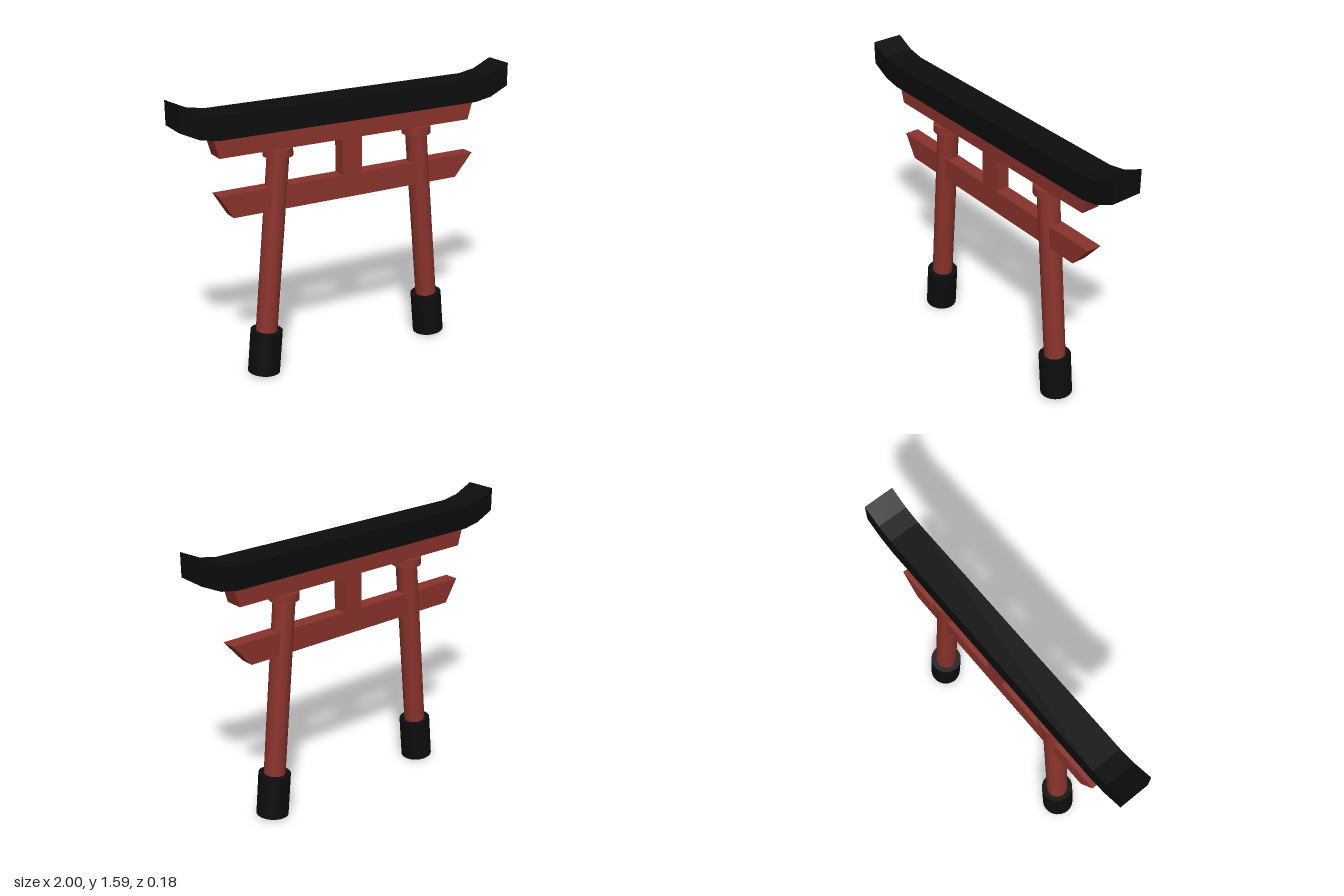
import * as THREE from 'three';

const red = new THREE.MeshStandardMaterial({ color: 0x8a332c });
const black = new THREE.MeshStandardMaterial({ color: 0x0d0d0d });
const MID = 0.013; // middle line of the frame

function add(parent, name, geometry, material) {
  const mesh = new THREE.Mesh(geometry, material);
  mesh.name = name;
  parent.add(mesh);
  return mesh;
}

// Front outline extruded evenly to both sides of z = 0
function slab(points, depth) {
  const shape = new THREE.Shape(points.map(([x, y]) => new THREE.Vector2(x, y)));
  return new THREE.ExtrudeGeometry(shape, { depth, bevelEnabled: false }).translate(0, 0, -depth / 2);
}

// Cylinder between two points
function rod(parent, name, from, to, radius, material) {
  const axis = to.clone().sub(from);
  const mesh = add(parent, name, new THREE.CylinderGeometry(radius, radius, axis.length(), 32), material);
  mesh.position.copy(from).lerp(to, 0.5);
  mesh.quaternion.setFromUnitVectors(new THREE.Vector3(0, 1, 0), axis.normalize());
}

export function createModel() {
  const model = new THREE.Group();
  model.name = 'gate';

  // Top lintel with upturned ends
  const under = [[-1, 1.46], [-0.89, 1.408], [-0.79, 1.39], [0.79, 1.39], [0.89, 1.408], [1, 1.46]];
  const over = under.map(([x, y]) => [x, y + 0.13]).reverse();
  add(model, 'topLintel', slab([...under, ...over], 0.176), black);

  // Straight beams with slanted ends, and the strut joining them
  add(model, 'upperBeam', slab([[-0.775, 1.285], [0.76, 1.285], [0.79, 1.392], [-0.805, 1.392]], 0.104), red);
  add(model, 'lowerBeam', slab([[-0.703, 0.95], [0.693, 0.95], [0.805, 1.08], [-0.783, 1.08]], 0.082), red);
  add(model, 'centreStrut', new THREE.BoxGeometry(0.12, 0.206, 0.082), red).position.set(0.01, 1.182, 0);

  // Leaning pillars with collars and dark feet
  for (const [side, name] of [[1, 'left'], [-1, 'right']]) {
    const pillar = new THREE.Group();
    pillar.name = name + 'Pillar';
    const at = (y) => new THREE.Vector3(MID + side * (0.547 - 0.093 * y), y, 0);
    rod(pillar, 'post', at(0.1), at(1.26), 0.06, red);
    rod(pillar, 'foot', at(0.009), at(0.252), 0.089, black);
    add(pillar, 'collar', new THREE.CylinderGeometry(0.081, 0.081, 0.045, 32), red)
      .position.set(MID + side * 0.432, 1.2625, 0);
    model.add(pillar);
  }
  return model;
}
